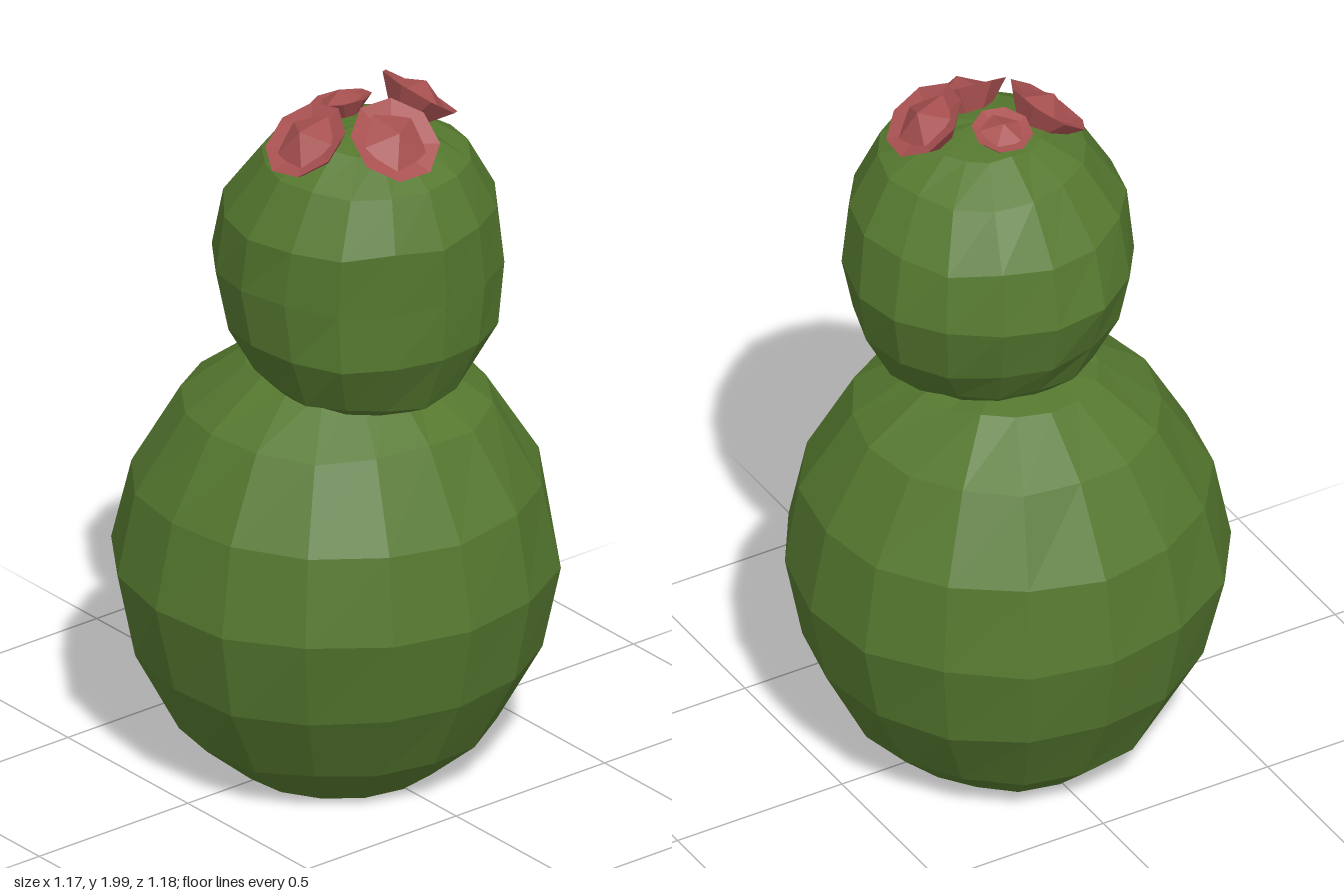
import * as THREE from 'three';

const green = new THREE.MeshStandardMaterial({ color: 0x55782f, flatShading: true });
green.name = 'cactusGreen';
const red = new THREE.MeshStandardMaterial({ color: 0xa85050, flatShading: true, side: THREE.DoubleSide });
red.name = 'flowerRed';

// repeatable wobble in -1..1
function wobble(n) {
  const s = Math.sin(n * 127.1 + 3.7) * 43758.5453;
  return (s - Math.floor(s)) * 2 - 1;
}

// Faceted bulb from rings [y, radius, centreX, centreZ, slope along x], bottom to top
function bulb(name, rings, topY, seed) {
  const sides = 16, pos = [], index = [];
  rings.forEach(([y, r, cx, cz, slope], i) => {
    for (let j = 0; j < sides; j++) {
      const n = seed + i * sides + j;
      const a = (j / sides) * Math.PI * 2 + 0.03;
      const rr = r + wobble(n) * 0.007;
      const dy = y > 0 ? wobble(n + 500) * 0.009 : 0;
      pos.push(cx + Math.cos(a) * rr, y + dy + slope * Math.cos(a) * rr, cz + Math.sin(a) * rr);
    }
  });
  const bottom = pos.length / 3, top = bottom + 1, last = (rings.length - 1) * sides;
  const first = rings[0], end = rings[rings.length - 1];
  pos.push(first[2], first[0], first[3], end[2], topY, end[3]);
  for (let j = 0; j < sides; j++) {
    const k = (j + 1) % sides;
    for (let i = 0; i < rings.length - 1; i++) {
      const a = i * sides + j, b = i * sides + k;
      index.push(a, a + sides, b, b, a + sides, b + sides);
    }
    index.push(bottom, j, k, top, last + k, last + j);
  }
  const geo = new THREE.BufferGeometry();
  geo.setAttribute('position', new THREE.Float32BufferAttribute(pos, 3));
  geo.setIndex(index);
  geo.computeVertexNormals();
  const mesh = new THREE.Mesh(geo, green);
  mesh.name = name;
  return mesh;
}

// Flared cup with a faceted centre, its axis leaning along (nx, ny, nz)
function flower(name, [x, y, z], r, [nx, ny, nz], spin) {
  const g = new THREE.Group();
  g.name = name;
  const cup = new THREE.Mesh(new THREE.LatheGeometry([
    new THREE.Vector2(0.001, -0.6 * r),
    new THREE.Vector2(0.5 * r, -0.55 * r),
    new THREE.Vector2(r, 0),
    new THREE.Vector2(0.6 * r, -0.08 * r),
  ], 8), red);
  cup.name = 'petals';
  // five-sided dome
  const heart = new THREE.Mesh(new THREE.ConeGeometry(0.78 * r, 0.36 * r, 5), red);
  heart.position.y = 0.1 * r;
  heart.name = 'flowerCentre';
  g.add(cup, heart);
  const up = new THREE.Vector3(0, 1, 0);
  g.quaternion.setFromUnitVectors(up, new THREE.Vector3(nx, ny, nz).normalize());
  g.rotateY(spin);
  g.position.set(x, y, z);
  return g;
}

export function createModel() {
  const model = new THREE.Group();
  model.name = 'cactus';

  model.add(bulb('lowerBody', [
    [0, 0.285, 0, 0, 0], [0.12, 0.42, 0, 0, 0], [0.34, 0.54, 0, 0, 0],
    [0.58, 0.59, 0, 0, 0], [0.82, 0.545, 0, 0, 0], [1.04, 0.41, 0, 0, 0],
    [1.165, 0.24, 0, 0, 0],
  ], 1.2, 11));

  model.add(bulb('upperBody', [
    [1.14, 0.23, 0.09, 0, -0.1], [1.18, 0.285, 0.1, 0, -0.08], [1.32, 0.36, 0.1, 0, 0],
    [1.48, 0.39, 0.08, -0.01, 0], [1.65, 0.365, 0.1, 0, 0], [1.79, 0.275, 0.12, 0, 0],
    [1.86, 0.16, 0.12, 0, 0],
  ], 1.885, 211));

  model.add(
    flower('backFlower', [0.145, 1.93, -0.165], 0.118, [0.1, 1, -0.7], 0.3),
    flower('leftFlower', [0.265, 1.89, 0.015], 0.125, [0.8, 1, 0.1], 1.1),
    flower('frontFlower', [0.1, 1.88, 0.185], 0.12, [0, 1, 0.75], 0.6),
    flower('rightFlower', [0.02, 1.915, 0], 0.082, [-0.25, 1, 0], 0.2),
  );
  return model;
}
